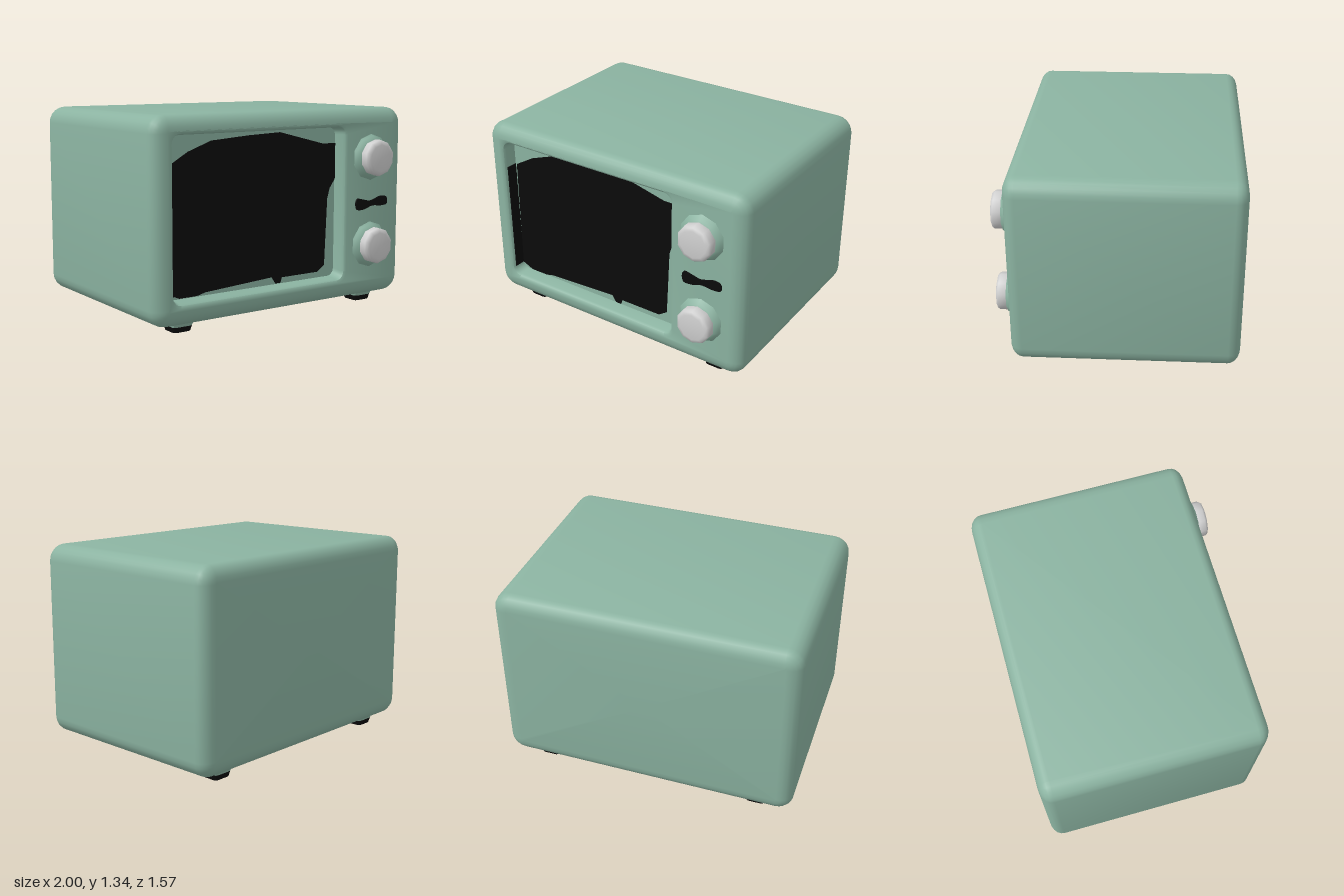
import * as THREE from 'three';
import { toCreasedNormals } from 'three/addons/utils/BufferGeometryUtils.js';

const mat = (name, color, side = THREE.FrontSide) => {
  const m = new THREE.MeshStandardMaterial({ color, side });
  m.name = name;
  return m;
};

// Rounded rectangle loop, counter-clockwise seen from +z
function ring(x0, x1, y0, y1, r, z, steps = 5) {
  const pts = [];
  const corners = [[x1 - r, y0 + r], [x1 - r, y1 - r], [x0 + r, y1 - r], [x0 + r, y0 + r]];
  corners.forEach(([cx, cy], c) => {
    for (let i = 0; i <= steps; i++) {
      const a = (c - 1 + i / steps) * Math.PI / 2;
      pts.push([cx + r * Math.cos(a), cy + r * Math.sin(a), z]);
    }
  });
  return pts;
}

// Skin a list of equal-length loops
function loft(rings, crease) {
  const n = rings[0].length, index = [];
  for (let k = 0; k < rings.length - 1; k++) {
    for (let i = 0; i < n; i++) {
      const j = (i + 1) % n, a = k * n, b = a + n;
      index.push(a + i, a + j, b + j, a + i, b + j, b + i);
    }
  }
  const g = new THREE.BufferGeometry();
  g.setAttribute('position', new THREE.Float32BufferAttribute(rings.flat(2), 3));
  g.setIndex(index);
  return toCreasedNormals(g, crease);
}

export function createModel() {
  const group = new THREE.Group();
  const green = mat('sage enamel', 0x8bb3a1);
  const black = mat('black glass', 0x0b0b0b);
  const grey = mat('pale grey', 0xd0d0d0);
  const add = (name, geo, material, x = 0, y = 0, z = 0, parent = group) => {
    const m = new THREE.Mesh(geo, material);
    m.name = name;
    m.position.set(x, y, z);
    parent.add(m);
    return m;
  };

  // Housing: rounded back, sides, rounded front rim, then a recess for the window
  const R = 0.1, E = 0.08, zb = -0.78, zf = 0.68, floorZ = 0.58;
  const rings = [ring(0, 0, 0.7, 0.7, 0, zb)];
  const edge = (t, z) => {
    const inset = R * (1 - Math.sin(t));
    return ring(-1 + inset, 1 - inset, 0.06 + inset, 1.34 - inset, R * Math.sin(t) + 0.01, z);
  };
  const N = 5;
  for (let i = 0; i <= N; i++) {
    const t = i / N * Math.PI / 2;
    rings.push(edge(t, zb + E * (1 - Math.cos(t))));
  }
  for (let i = N; i >= 0; i--) {
    const t = i / N * Math.PI / 2;
    rings.push(edge(t, zf - E * (1 - Math.cos(t))));
  }
  rings.push(
    ring(-0.885, 0.495, 0.175, 1.245, 0.07, zf),
    ring(-0.868, 0.478, 0.192, 1.228, 0.06, zf - 0.008),
    ring(-0.86, 0.47, 0.2, 1.22, 0.05, zf - 0.025),
    ring(-0.855, 0.465, 0.21, 1.215, 0.05, floorZ),
    ring(-0.2, -0.2, 0.7, 0.7, 0, floorZ)
  );
  add('housing', loft(rings, 0.7), green);

  // Window glass with its uneven edge, on the floor of the recess
  const outline = [[-0.85, 0.25], [-0.77, 0.215], [-0.64, 0.215], [-0.58, 0.23], [-0.06, 0.26],
    [-0.03, 0.215], [0.01, 0.215], [0.02, 0.25], [0.32, 0.25], [0.38, 0.29], [0.4, 0.74],
    [0.42, 0.81], [0.464, 0.87], [0.464, 1.11], [0.36, 1.11], [0, 1.2], [-0.25, 1.19],
    [-0.53, 1.17], [-0.7, 1.11], [-0.84, 1.03]];
  const glass = new THREE.Shape(outline.map(([x, y]) => new THREE.Vector2(x, y)));
  add('windowGlass', new THREE.ExtrudeGeometry(glass, { depth: 0.006, bevelEnabled: false }),
    black, 0, 0, floorZ);
  add('windowSideTrim', new THREE.BoxGeometry(0.006, 0.78, 0.08), black, -0.856, 0.64, 0.618);

  // Two dials, each on a flared collar
  const lathe = pts => {
    const g = new THREE.LatheGeometry(pts.map(p => new THREE.Vector2(...p)), 10);
    return toCreasedNormals(g.rotateX(Math.PI / 2), 0.9);
  };
  const collarGeo = lathe([[0.165, -0.01], [0.145, 0.012], [0.128, 0.035], [0.115, 0.04]]);
  const dialGeo = lathe([[0.117, 0.02], [0.122, 0.04], [0.122, 0.085], [0.112, 0.1],
    [0.09, 0.105], [0, 0.106]]);
  [['upperDial', 1.01], ['lowerDial', 0.415]].forEach(([name, y]) => {
    const dial = new THREE.Group();
    dial.name = name;
    dial.position.set(0.7, y, zf);
    group.add(dial);
    add('dialCollar', collarGeo, green, 0, 0, 0, dial);
    add('dialKnob', dialGeo, grey, 0, 0, 0, dial);
  });

  // Wavy bar between the dials
  const bar = new THREE.Shape();
  bar.moveTo(0.565, 0.7);
  bar.splineThru([[0.58, 0.735], [0.64, 0.725], [0.7, 0.715], [0.79, 0.74], [0.84, 0.73],
    [0.845, 0.685], [0.79, 0.675], [0.71, 0.68], [0.64, 0.66], [0.58, 0.66], [0.565, 0.7]]
    .map(p => new THREE.Vector2(...p)));
  add('controlBar', new THREE.ExtrudeGeometry(bar, { depth: 0.012, bevelEnabled: false, curveSegments: 24 }),
    black, 0, 0, zf);

  // Four feet: green collar above a black pad, tapering downwards
  const foot = (w0, w1, y0, y1) => {
    const r = w => ring(-w, w, -w, w, 0.02, 0, 2);
    const at = (loop, y) => loop.map(([x, z]) => [x, y, -z]);
    return loft([at(ring(0, 0, 0, 0, 0, 0, 2), y0), at(r(w0), y0), at(r(w1), y1),
      at(ring(0, 0, 0, 0, 0, 0, 2), y1)], 0.7);
  };
  const padGeo = foot(0.062, 0.07, 0, 0.035);
  const stemGeo = foot(0.07, 0.082, 0.035, 0.075);
  for (const x of [-0.74, 0.74]) {
    for (const z of [0.515, -0.62]) {
      const f = new THREE.Group();
      f.name = 'foot';
      f.position.set(x, 0, z);
      group.add(f);
      add('footPad', padGeo, black, 0, 0, 0, f);
      add('footStem', stemGeo, green, 0, 0, 0, f);
    }
  }
  return group;
}
